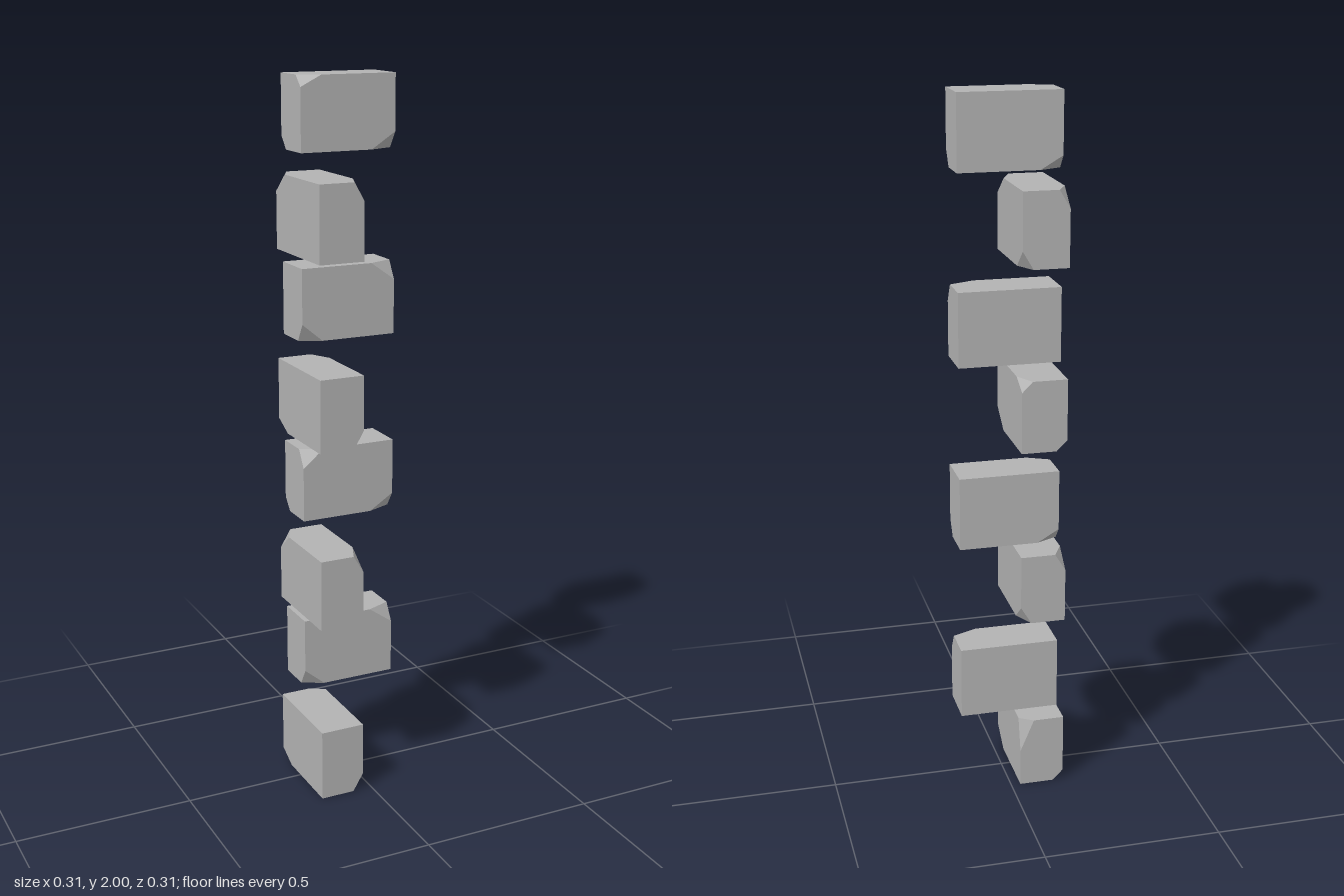
import * as THREE from 'three';
import { ConvexGeometry } from 'three/addons/geometries/ConvexGeometry.js';

// Extents shared by all stones: along the length and across the thickness.
const LENGTH = [-0.125, 0.153];
const DEPTH = [-0.155, -0.027];

// A stone block with chipped corners. Each chip is
// [end, side, level, alongLength, acrossDepth, height], the first three being 0 or 1.
function stoneGeometry(bottom, top, chips, alongZ) {
  const points = [];
  const add = (l, y, d) => points.push(alongZ ? new THREE.Vector3(d, y, l) : new THREE.Vector3(l, y, d));
  for (const i of [0, 1]) for (const j of [0, 1]) for (const k of [0, 1]) {
    const l = LENGTH[i], d = DEPTH[j], y = k ? top : bottom;
    const chip = chips.find((c) => c[0] === i && c[1] === j && c[2] === k);
    if (!chip) {
      add(l, y, d);
      continue;
    }
    add(l + (i ? -1 : 1) * chip[3], y, d);
    add(l, y, d + (j ? -1 : 1) * chip[4]);
    add(l, y + (k ? -1 : 1) * chip[5], d);
  }
  return new ConvexGeometry(points);
}

export function createModel() {
  const model = new THREE.Group();
  model.name = 'cornerStones';
  const stone = new THREE.MeshStandardMaterial({ color: 0xb2b2b2 });
  stone.name = 'grey stone';

  // Chip patterns
  const base = [[1, 1, 0, 0.07, 0.03, 0.05], [0, 1, 1, 0.025, 0.04, 0.095], [0, 0, 0, 0.06, 0.03, 0.03]];
  const sideA = [[1, 1, 1, 0.07, 0.03, 0.05], [0, 1, 0, 0.06, 0.03, 0.05], [0, 0, 1, 0.06, 0.03, 0.05]];
  const sideB = [[1, 1, 0, 0.07, 0.03, 0.05], [0, 1, 1, 0.06, 0.03, 0.03], [0, 0, 0, 0.06, 0.03, 0.03]];
  const frontA = [[1, 1, 1, 0.07, 0.03, 0.05], [0, 1, 0, 0.06, 0.03, 0.05]];
  const frontB = [[0, 1, 1, 0.06, 0.03, 0.05], [1, 1, 0, 0.07, 0.03, 0.045], [0, 0, 0, 0.06, 0.03, 0.035]];
  const crown = [[0, 1, 1, 0.06, 0.03, 0.03], ...frontB.slice(1)];

  // Stones from the ground up, turning a quarter each course
  const courses = [
    [0, 0.205, base], [0.265, 0.47, frontA],
    [0.517, 0.72, sideA], [0.775, 0.98, frontB],
    [1.027, 1.23, sideB], [1.29, 1.493, frontA],
    [1.535, 1.742, sideA], [1.8, 2, crown],
  ];
  courses.forEach(([bottom, top, chips], n) => {
    const alongZ = n % 2 === 0;
    const mesh = new THREE.Mesh(stoneGeometry(bottom, top, chips, alongZ), stone);
    mesh.name = (alongZ ? 'sideStone' : 'frontStone') + (n + 1);
    model.add(mesh);
  });
  return model;
}
